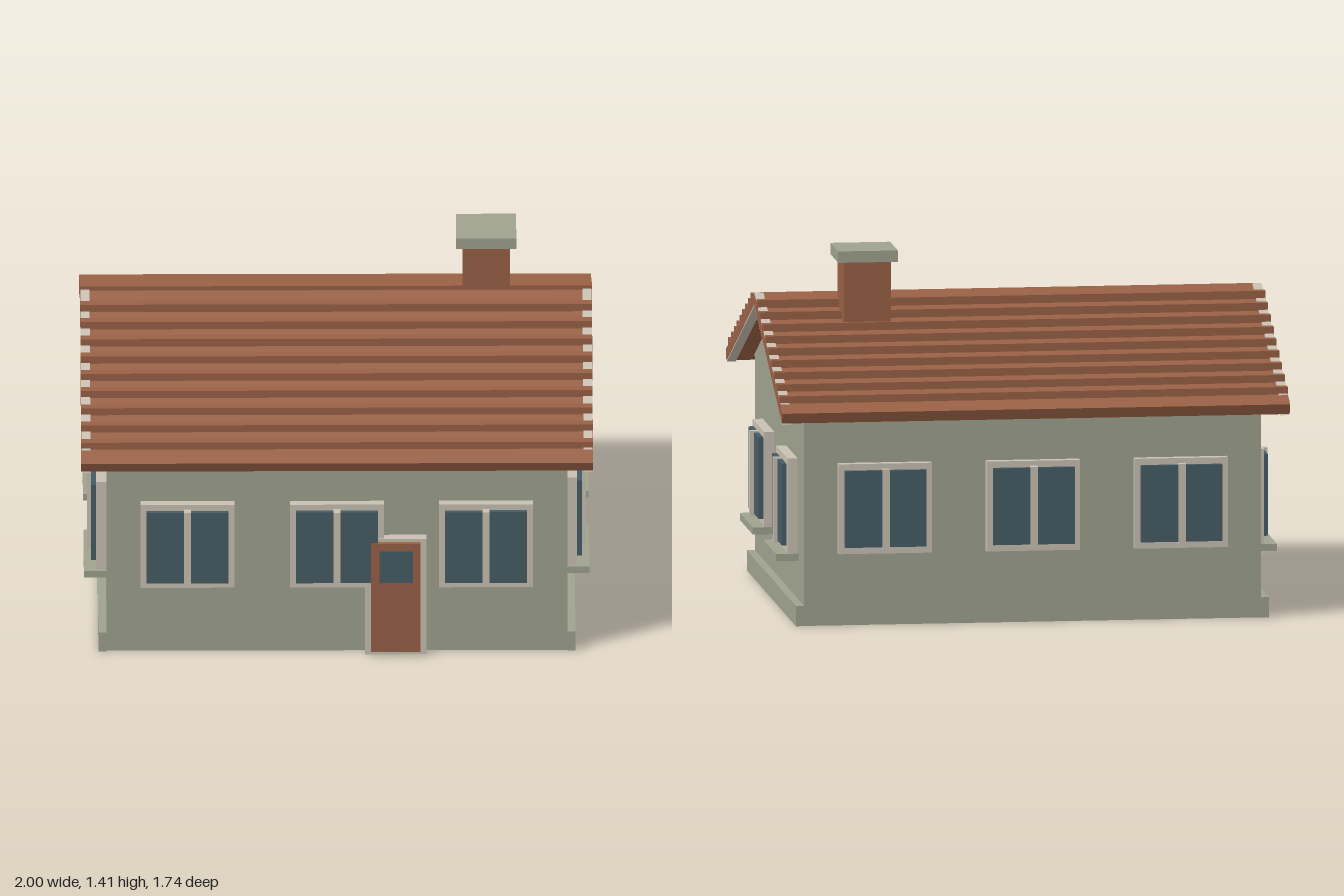
import * as THREE from 'three';

const mat = (name, color) => {
  const m = new THREE.MeshStandardMaterial({ color });
  m.name = name;
  return m;
};

export function createModel() {
  const wall = mat('sage wall', 0x9ea28d);
  const tile = mat('terracotta', 0x986045);
  const glass = mat('window glass', 0x455c65);
  const trim = mat('pale trim', 0xc8c0b2);

  const house = new THREE.Group();
  house.name = 'house';

  const add = (parent, name, geometry, material) => {
    const mesh = new THREE.Mesh(geometry, material);
    mesh.name = name;
    parent.add(mesh);
    return mesh;
  };

  // Box given by its minimum and maximum on each axis
  const box = (parent, name, material, [x0, x1], [y0, y1], [z0, z1]) => {
    const mesh = add(parent, name, new THREE.BoxGeometry(x1 - x0, y1 - y0, z1 - z0), material);
    mesh.position.set((x0 + x1) / 2, (y0 + y1) / 2, (z0 + z1) / 2);
    return mesh;
  };

  // Profile of [z, y] points extruded along x
  const prism = (name, material, points, x0, x1) => {
    const shape = new THREE.Shape(points.map(([z, y]) => new THREE.Vector2(z, y)));
    const geometry = new THREE.ExtrudeGeometry(shape, { depth: x1 - x0, bevelEnabled: false });
    geometry.rotateY(-Math.PI / 2);
    geometry.translate(x1, 0, 0);
    return add(house, name, geometry, material);
  };

  // Walls, gables and side plinths
  box(house, 'walls', wall, [-0.9, 0.9], [0, 0.85], [-0.745, 0.745]);
  prism('gables', wall, [[-0.745, 0.85], [0.745, 0.85], [0, 1.162]], -0.905, 0.905);
  for (const s of [-1, 1]) {
    const plinth = box(house, 'plinth', wall, [0.9, 0.932], [0, 0.08], [-0.75, 0.75]);
    plinth.position.x *= s;
  }

  // Folded roof, with pale verge boards just proud of it above and below
  const roofProfile = (up, down) => [
    [0, 1.205 + up], [-0.87, 0.858 + up], [-0.852, 0.817 - down],
    [0, 1.163 - down], [0.852, 0.817 - down], [0.87, 0.858 + up],
  ];
  prism('roof', tile, roofProfile(0, 0), -1, 1);
  const verge = [
    [0, 1.209], [-0.8, 0.89], [-0.848, 0.812], [0, 1.156], [0.848, 0.812], [0.8, 0.89],
  ];
  prism('vergeBoard', trim, verge, 0.963, 0.999);
  prism('vergeBoard', trim, verge, -0.999, -0.963);

  // Stepped tile battens on both slopes
  for (const s of [-1, 1]) {
    for (let i = 0; i < 9; i++) {
      const z = 0.78 - i * 0.0865;
      const top = 0.916 + i * 0.0348;
      const batten = box(house, 'tileRow', tile, [-1, 1], [top - 0.035, top], [z - 0.02, z + 0.018]);
      batten.position.z *= s;
    }
  }

  // Chimney
  box(house, 'chimney', tile, [0.495, 0.68], [1.0, 1.362], [-0.26, -0.06]);
  box(house, 'chimneyCap', wall, [0.47, 0.705], [1.362, 1.407], [-0.28, -0.045]);

  // Window facing local +z, with its bottom centre at the origin
  const makeWindow = (w, h, rim, sill) => {
    const g = new THREE.Group();
    g.name = 'window';
    const p = w / 2 - rim;
    box(g, 'windowFrame', trim, [-w / 2, w / 2], [0, h], [-0.01, 0.037]);
    box(g, 'windowPane', glass, [-p, p], [0.027, h - 0.025], [0.03, 0.056]);
    box(g, 'windowMullion', trim, [-0.014, 0.014], [0.018, h - 0.019], [0.03, 0.072]);
    if (sill) box(g, 'windowSill', wall, [-0.197, 0.197], [-0.027, 0.001], [-0.01, 0.085]);
    house.add(g);
    return g;
  };

  // Three windows on the front and the back
  for (const x of [-0.584, 0, 0.582]) {
    makeWindow(0.368, 0.355, 0.024, false).position.set(x, 0.286, 0.745);
    const back = makeWindow(0.368, 0.355, 0.024, false);
    back.position.set(-x, 0.286, -0.745);
    back.rotation.y = Math.PI;
  }

  // Two windows with sills on each end
  for (const [s, zs] of [[1, [0.335, -0.38]], [-1, [0.37, -0.36]]]) {
    for (const z of zs) {
      const w = makeWindow(0.354, 0.374, 0.026, true);
      w.position.set(s * 0.903, 0.26, z);
      w.rotation.y = s * Math.PI / 2;
    }
  }

  // Front door
  box(house, 'doorFrame', trim, [0.11, 0.35], [0, 0.495], [0.74, 0.784]);
  box(house, 'door', tile, [0.132, 0.327], [0.02, 0.482], [0.77, 0.805]);
  box(house, 'doorPane', glass, [0.166, 0.297], [0.316, 0.452], [0.802, 0.809]);

  return house;
}
